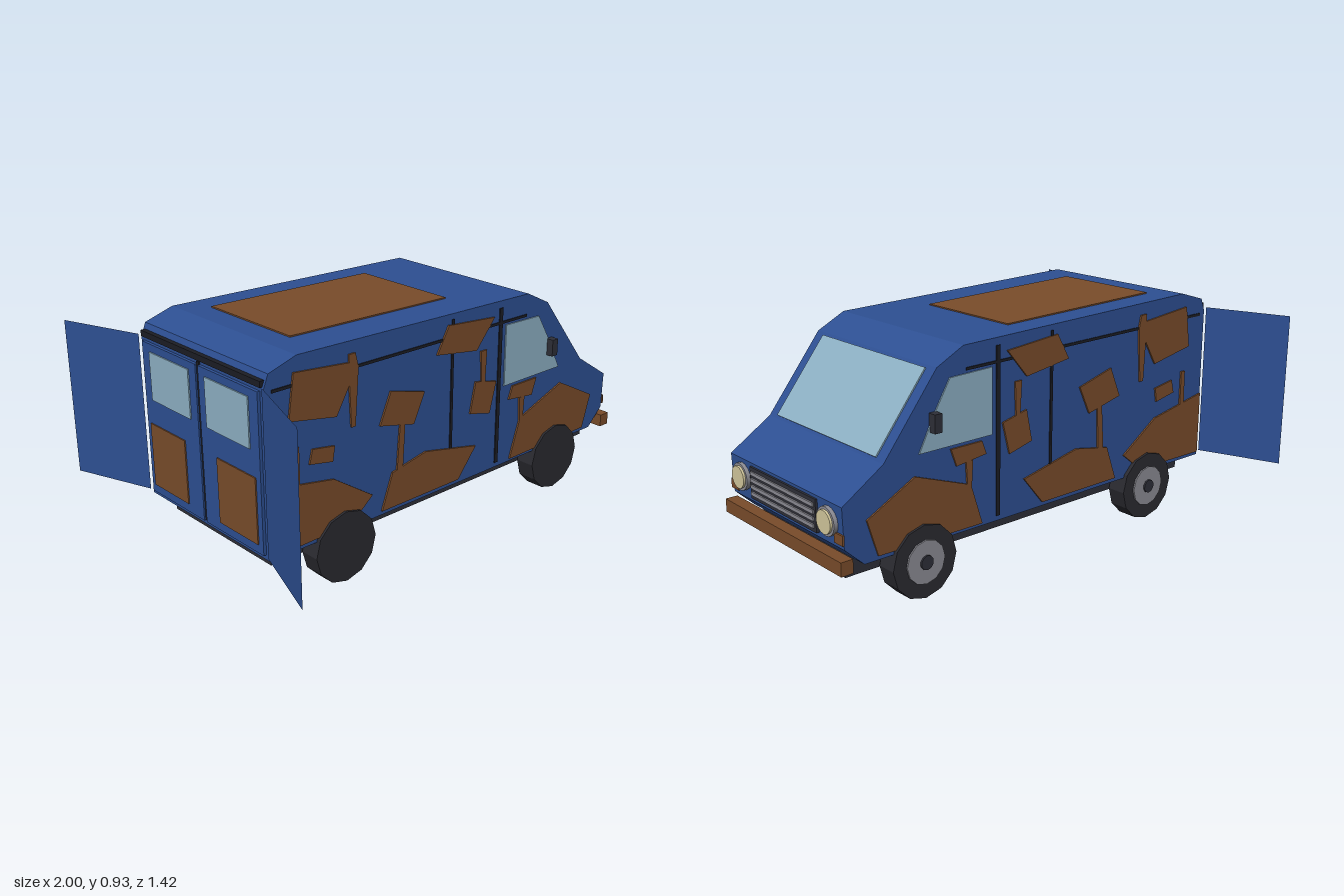
import * as THREE from 'three';

const mat = (name, color, side = THREE.FrontSide) => {
  const m = new THREE.MeshStandardMaterial({ color, side });
  m.name = name;
  return m;
};

export function createModel() {
  const van = new THREE.Group();
  van.name = 'van';
  const blue = mat('blue paint', 0x2d4f92);
  const doorBlue = mat('door blue', 0x2d4f92, THREE.DoubleSide);
  const rust = mat('rust', 0x794c2a);
  const glass = mat('glass', 0x8db0c4);
  const dark = mat('dark frame', 0x2e2f38);
  const black = mat('black trim', 0x1c1d24);
  const tyreMat = mat('tyre rubber', 0x2a2a30);
  const metal = mat('grey metal', 0x8c8c94);
  const cream = mat('lamp lens', 0xd2c79c);

  const add = (name, geo, material, x = 0, y = 0, z = 0, parent = van) => {
    const mesh = new THREE.Mesh(geo, material);
    mesh.name = name;
    mesh.position.set(x, y, z);
    parent.add(mesh);
    return mesh;
  };
  // Box given by its extents
  const box = (name, material, x0, x1, y0, y1, z0, z1) =>
    add(name, new THREE.BoxGeometry(x1 - x0, y1 - y0, z1 - z0), material, (x0 + x1) / 2, (y0 + y1) / 2, (z0 + z1) / 2);
  const extrude = (points, depth) =>
    new THREE.ExtrudeGeometry(new THREE.Shape(points.map(p => new THREE.Vector2(...p))), { depth, bevelEnabled: false });

  const W = 0.37;
  // Thin plate on both side walls
  const sidePlates = (name, points, material, depth) => {
    const geo = extrude(points, depth);
    add(name + 'Left', geo, material, 0, 0, W);
    add(name + 'Right', geo, material, 0, 0, -W - depth);
  };
  // Thin plate lying on a sloped panel running from p to q in the side profile
  const slopePlate = (name, material, p, q, z0, z1) => {
    const dx = q[0] - p[0], dy = q[1] - p[1];
    const mesh = add(name, new THREE.BoxGeometry(Math.hypot(dx, dy), 0.008, z1 - z0), material,
      (p[0] + q[0]) / 2, (p[1] + q[1]) / 2, (z0 + z1) / 2);
    mesh.rotation.z = Math.atan2(dy, dx);
  };

  // Body shell
  const profile = [[-0.87, 0.2], [0.885, 0.2], [0.965, 0.275], [0.97, 0.43], [0.795, 0.543], [0.56, 0.84],
    [0.44, 0.9], [-0.73, 0.927], [-0.85, 0.89], [-0.87, 0.84]];
  add('body', extrude(profile, 2 * W), blue, 0, 0, -W);
  box('chassis', dark, -0.815, 0.92, 0.135, 0.2, -0.3, 0.3);

  // Windows and roof patch
  slopePlate('windshield', glass, [0.569, 0.831], [0.789, 0.553], -0.32, 0.32);
  slopePlate('roofRust', rust, [-0.63, 0.926], [0.135, 0.908], -0.26, 0.21);
  sidePlates('sideWindow', [[0.31, 0.545], [0.645, 0.545], [0.575, 0.68], [0.505, 0.795], [0.31, 0.8]], glass, 0.005);

  // Side seams and sliding rail
  sidePlates('slideRail', [[-0.84, 0.82], [0.43, 0.808], [0.43, 0.818], [-0.84, 0.831]], black, 0.004);
  for (const [x, w, y0, y1] of [[0.013, 0.012, 0.215, 0.888], [0.28, 0.018, 0.22, 0.875]])
    sidePlates('doorSeam', [[x - w / 2, y0], [x + w / 2, y0], [x + w / 2, y1], [x - w / 2, y1]], black, 0.004);

  // Rust patches and drips
  const patches = [
    [[-0.75, 0.87], [-0.5, 0.845], [-0.5, 0.77], [-0.565, 0.66], [-0.775, 0.7]],
    [[-0.505, 0.875], [-0.475, 0.875], [-0.462, 0.82], [-0.478, 0.6], [-0.497, 0.6], [-0.505, 0.78]],
    [[-0.307, 0.687], [-0.136, 0.64], [-0.19, 0.525], [-0.36, 0.565]],
    [[-0.26, 0.548], [-0.235, 0.543], [-0.245, 0.366], [-0.275, 0.36]],
    [[-0.013, 0.87], [0.238, 0.848], [0.142, 0.735], [-0.072, 0.767]],
    [[0.142, 0.607], [0.26, 0.58], [0.227, 0.452], [0.115, 0.48]],
    [[0.168, 0.725], [0.2, 0.725], [0.195, 0.59], [0.175, 0.59]],
    [[-0.676, 0.57], [-0.575, 0.553], [-0.585, 0.495], [-0.69, 0.516]],
    [[-0.757, 0.596], [-0.735, 0.596], [-0.735, 0.45], [-0.76, 0.45]],
    [[-0.865, 0.478], [-0.58, 0.425], [-0.398, 0.302], [-0.5, 0.22], [-0.865, 0.215]],
    [[-0.297, 0.36], [-0.125, 0.393], [0.152, 0.334], [0.056, 0.217], [-0.35, 0.217]],
    [[0.36, 0.212], [0.414, 0.377], [0.666, 0.468], [0.874, 0.36], [0.83, 0.217]],
    [[0.36, 0.532], [0.505, 0.532], [0.48, 0.463], [0.34, 0.479]],
    [[0.404, 0.47], [0.436, 0.47], [0.43, 0.37], [0.41, 0.37]],
  ];
  patches.forEach(p => sidePlates('rustPatch', p, rust, 0.007));

  // Wheels, all with the hub on the same side
  const disc = (r, h, n) => new THREE.CylinderGeometry(r, r, h, n).toNonIndexed().rotateX(Math.PI / 2);
  const tyreGeo = disc(0.142, 0.082, 12), hubGeo = disc(0.085, 0.008, 12), capGeo = disc(0.028, 0.008, 10);
  tyreGeo.computeVertexNormals();
  for (const x of [-0.535, 0.636]) for (const z of [-0.346, 0.346]) {
    const wheel = new THREE.Group();
    wheel.name = 'wheel';
    wheel.position.set(x, 0.142, z);
    add('tyre', tyreGeo, tyreMat, 0, 0, 0, wheel);
    add('hub', hubGeo, metal, 0, 0, -0.043, wheel);
    add('hubCap', capGeo, dark, 0, 0, -0.05, wheel);
    van.add(wheel);
  }

  // Front end: bumper, grille
  box('frontBumper', rust, 0.945, 0.995, 0.192, 0.245, -0.39, 0.39);
  box('grille', dark, 0.955, 0.978, 0.293, 0.418, -0.22, 0.22);
  for (let i = 0; i < 4; i++) {
    const y = 0.316 + i * 0.0265;
    box('grilleBar', metal, 0.97, 0.984, y - 0.007, y + 0.007, -0.21, 0.21);
  }

  for (const s of [-1, 1]) {
    // Headlights
    const bezel = add('headlightBezel', new THREE.CylinderGeometry(0.054, 0.054, 0.024, 16), metal, 0.972, 0.36, s * 0.288);
    const lens = add('headlightLens', new THREE.CylinderGeometry(0.044, 0.044, 0.012, 16), cream, 0.987, 0.36, s * 0.288);
    bezel.rotation.z = lens.rotation.z = -Math.PI / 2;
    box('cornerRust', rust, 0.966, 0.974, 0.292, 0.33, s * 0.348 - 0.026, s * 0.348 + 0.026);
    // Mirrors
    box('mirror', dark, 0.565, 0.597, 0.615, 0.685, s * 0.387 - 0.017, s * 0.387 + 0.017);

    // Closed rear panels with window and rust
    const rear = (name, m, x0, x1, y0, y1, a, b) =>
      box(name, m, x0, x1, y0, y1, Math.min(s * a, s * b), Math.max(s * a, s * b));
    rear('rearPanel', blue, -0.882, -0.868, 0.22, 0.83, 0.008, 0.35);
    rear('rearWindow', glass, -0.887, -0.881, 0.61, 0.8, 0.05, 0.3);
    rear('rearRust', rust, -0.887, -0.881, 0.255, 0.51, 0.1, 0.325);

    // Opened rear door: a single upright sheet
    const door = add('openRearDoor', new THREE.PlaneGeometry(Math.hypot(0.12, 0.335), 0.633), doorBlue,
      -0.94, 0.5335, s * 0.5405);
    door.rotation.y = Math.atan2(-s * 0.335, -0.12);
  }
  box('rearSeam', black, -0.876, -0.868, 0.22, 0.84, -0.008, 0.008);
  box('rearRail', black, -0.878, -0.856, 0.845, 0.868, -0.36, 0.36);

  return van;
}
